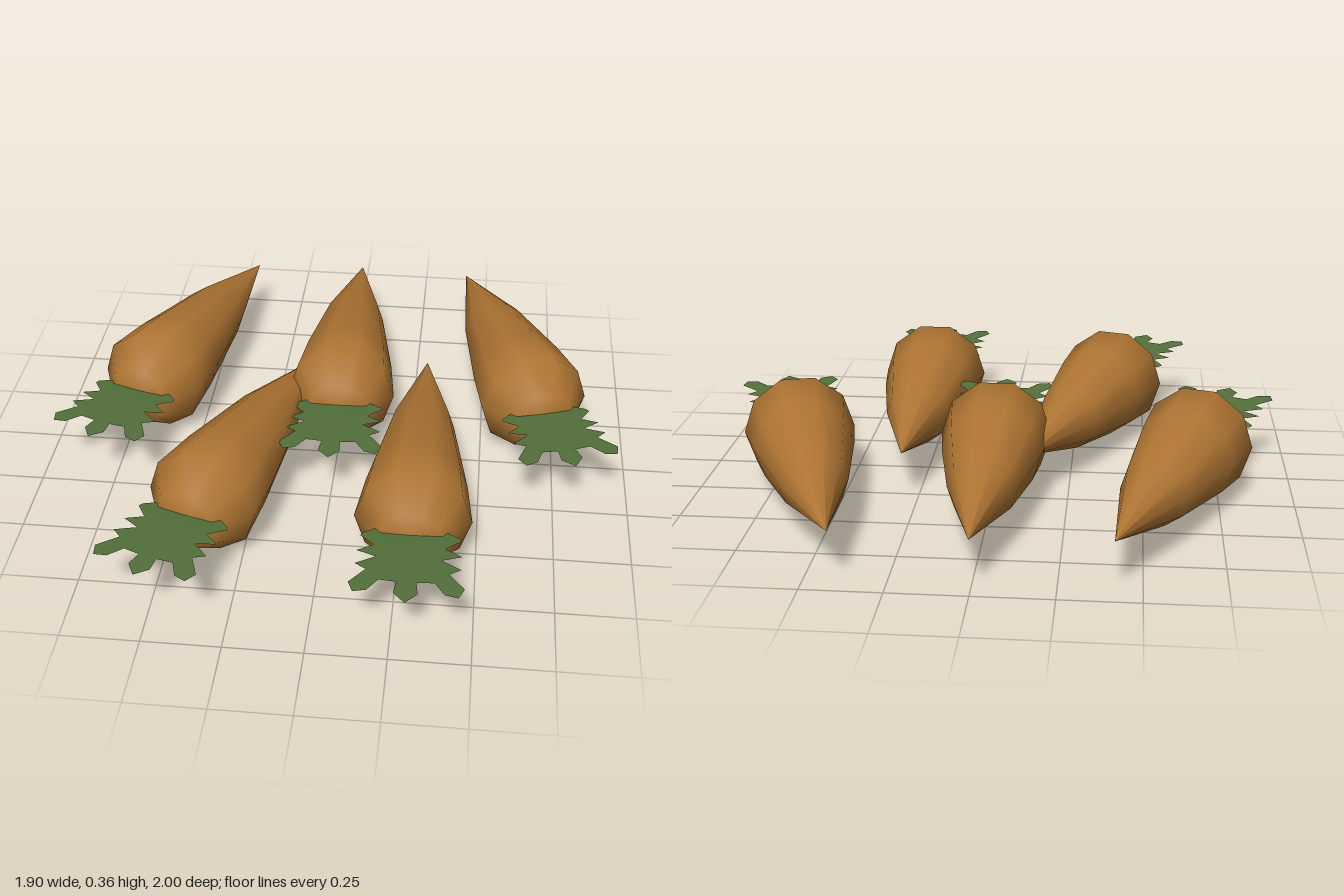
import * as THREE from 'three';

const carrotOrange = new THREE.MeshStandardMaterial({ color: 0xb07633 });
carrotOrange.name = 'carrotOrange';
const leafGreen = new THREE.MeshStandardMaterial({ color: 0x54713b, side: THREE.DoubleSide });
leafGreen.name = 'leafGreen';

// Ten-sided root lying along z: tip at z = -1, blunt crown at z = 0
function rootGeometry() {
  const profile = [[0, -1], [0.11, -0.61], [0.166, -0.29], [0.187, -0.11], [0.105, 0], [0, 0.005]]
    .map(([r, y]) => new THREE.Vector2(r, y));
  return new THREE.LatheGeometry(profile, 10, Math.PI / 2).rotateX(Math.PI / 2);
}

// Flat jagged leaf, mirrored about its middle and lifted gently towards its end
function leafGeometry() {
  const half = [
    [0.10, -0.03], [0.15, 0.005], [0.155, 0.02], [0.11, 0.065], [0.16, 0.1], [0.1, 0.125],
    [0.16, 0.165], [0.125, 0.19], [0.172, 0.255], [0.155, 0.295], [0.115, 0.285],
    [0.083, 0.235], [0.03, 0.24], [0.036, 0.29],
  ];
  const mirrored = half.map(([x, z]) => [-x, z]).reverse();
  const outline = [...half, [0, 0.33], ...mirrored].map(([x, z]) => new THREE.Vector2(x, -z));
  const geometry = new THREE.ShapeGeometry(new THREE.Shape(outline)).rotateX(-Math.PI / 2);
  const p = geometry.attributes.position;
  for (let i = 0; i < p.count; i++) {
    const t = (p.getZ(i) + 0.03) / 0.36;
    p.setY(i, 0.025 + 0.025 * Math.sin(t * Math.PI / 2));
  }
  geometry.computeVertexNormals();
  return geometry;
}

export function createModel() {
  const model = new THREE.Group();
  model.name = 'carrots';
  const root = rootGeometry();
  const leaf = leafGeometry();

  // Crown position x, z and heading of each carrot
  const places = [
    [0, 0, 0],
    [0.71, -0.02, 0.3],
    [-0.71, -0.02, -0.3],
    [-0.415, 0.64, -0.3],
    [0.295, 0.665, 0],
  ];
  places.forEach(([x, z, turn], i) => {
    const carrot = new THREE.Group();
    carrot.name = `carrot${i + 1}`;
    const rootMesh = new THREE.Mesh(root, carrotOrange);
    rootMesh.name = 'root';
    const leafMesh = new THREE.Mesh(leaf, leafGreen);
    leafMesh.name = 'leaf';
    carrot.add(rootMesh, leafMesh);
    carrot.position.set(x, 0.178, z);
    carrot.rotation.y = turn;
    model.add(carrot);
  });
  return model;
}
